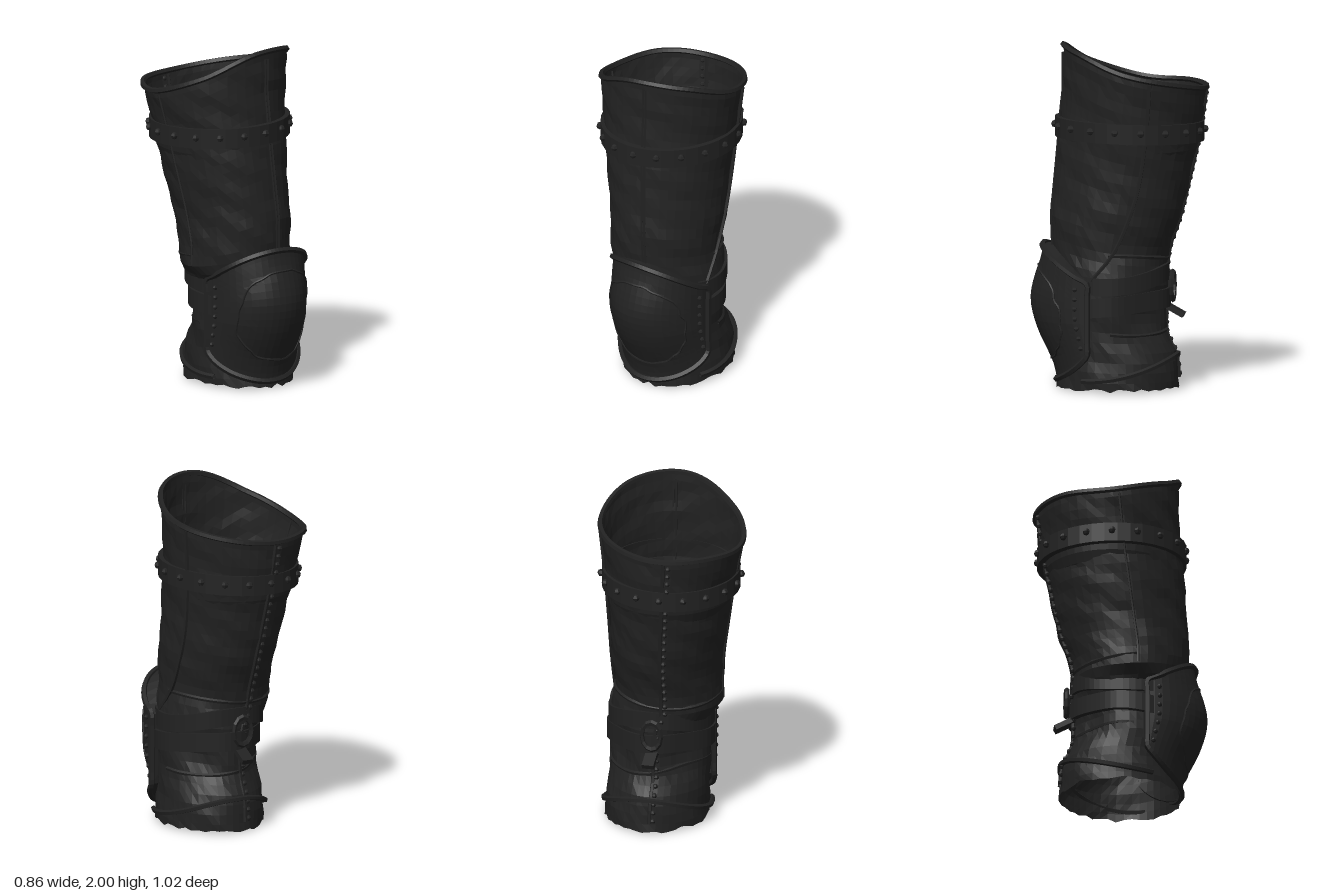
import * as THREE from 'three';

const leather = new THREE.MeshStandardMaterial({ color: 0x222222, flatShading: true, side: THREE.DoubleSide });
leather.name = 'black leather';
const { sin, cos, PI } = Math;
const { clamp } = THREE.MathUtils;
const deg = PI / 180;

// leg cross-sections: y, right x, left x, back z, front z
const sections = [
  [0, -0.2, 0.4, -0.35, 0.36], [0.1, -0.2, 0.395, -0.345, 0.355], [0.2, -0.195, 0.385, -0.33, 0.35],
  [0.32, -0.195, 0.38, -0.275, 0.35], [0.45, -0.2, 0.385, -0.275, 0.35], [0.62, -0.21, 0.38, -0.28, 0.355],
  [0.71, -0.27, 0.375, -0.27, 0.375], [0.8, -0.265, 0.355, -0.28, 0.39], [1, -0.28, 0.36, -0.35, 0.4],
  [1.4, -0.35, 0.37, -0.44, 0.365], [1.55, -0.38, 0.38, -0.465, 0.355], [1.74, -0.42, 0.4, -0.49, 0.335],
  [2.05, -0.425, 0.41, -0.5, 0.335],
];

function sectionAt(y) {
  let i = 0;
  while (i < sections.length - 2 && y > sections[i + 1][0]) i++;
  const a = sections[i], b = sections[i + 1], t = (y - a[0]) / (b[0] - a[0]);
  const [x0, x1, z0, z1] = [1, 2, 3, 4].map(k => a[k] + (b[k] - a[k]) * t);
  return { cx: (x0 + x1) / 2, rx: (x1 - x0) / 2, cz: (z0 + z1) / 2, rz: (z1 - z0) / 2 };
}

// point on the leg: angle from the front toward the left, height, outward offset
function onLeg(a, y, o = 0) {
  const s = sectionAt(y);
  // the hollow of the knee pinches the back corners
  const pinch = cos(a) < 0 ? 0.045 * sin(2 * a) ** 2 * Math.exp(-(((y - 0.44) / 0.14) ** 2)) : 0;
  return new THREE.Vector3(s.cx + (s.rx + o - pinch) * sin(a), y, s.cz + (s.rz + o - pinch) * cos(a));
}
const angleAtZ = (z, y) => {
  const s = sectionAt(y);
  return Math.acos(clamp((z - s.cz) / s.rz, -1, 1));
};
// height of the top edge every 45 degrees, from the front toward the left
const rimCurve = new THREE.CatmullRomCurve3(
  [1.985, 1.97, 1.862, 1.795, 1.75, 1.75, 1.75, 1.85].map((y, i) => new THREE.Vector3(i, y, 0)), true, 'catmullrom');
const rimY = a => rimCurve.getPoint(((a / (2 * PI)) % 1 + 1) % 1).y;
const jitter = n => { const v = sin(n * 12.9898) * 43758.5453; return v - Math.floor(v); };

// quad sheet through fn(u, v)
function sheet(nu, nv, fn) {
  const pos = [], idx = [];
  for (let j = 0; j <= nv; j++) for (let i = 0; i <= nu; i++) pos.push(...fn(i / nu, j / nv, i, j).toArray());
  for (let j = 0; j < nv; j++) for (let i = 0; i < nu; i++) {
    const p = j * (nu + 1) + i, q = p + nu + 1;
    idx.push(p, p + 1, q, p + 1, q + 1, q);
  }
  const g = new THREE.BufferGeometry();
  g.setAttribute('position', new THREE.Float32BufferAttribute(pos, 3));
  g.setIndex(idx);
  g.computeVertexNormals();
  return g;
}

export function createModel() {
  const group = new THREE.Group();
  const add = (name, geo) => {
    const m = new THREE.Mesh(geo, leather);
    m.name = name;
    group.add(m);
    return m;
  };
  const piping = (name, pts, r, closed = false) =>
    add(name, new THREE.TubeGeometry(new THREE.CatmullRomCurve3(pts, closed), pts.length * 3, r, 5, closed));
  const sample = (n, fn) => Array.from({ length: n }, (_, i) => fn(i / (n - 1)));
  const studGeo = new THREE.SphereGeometry(1, 6, 4);
  const stud = (name, p, r) => {
    const m = add(name, studGeo);
    m.position.copy(p);
    m.scale.setScalar(r);
  };
  // strap wrapped round the leg: lower edge, face, upper edge
  const strap = (name, a0, a1, mid, h, o) => add(name, sheet(36, 3, (u, v, i, j) => {
    const a = a0 + (a1 - a0) * u;
    const p = onLeg(a, mid(a), j === 1 || j === 2 ? o : -0.01);
    p.y += j > 1 ? h / 2 : -h / 2;
    return p;
  }));

  // main sleeve with soft wrinkles and a ragged hem
  const around = 48;
  add('legSleeve', sheet(around, 32, (u, v, i, j) => {
    const a = u * 2 * PI, hem = j === 0 ? 0.025 * jitter(i % around) : 0;
    const y = Math.max(hem, v * rimY(a));
    const crease = 0.006 * sin(3 * a + 9 * y) * sin(23 * y + 2 * a) + 0.005 * (jitter((i % around) * 7 + j * 31) - 0.5);
    return onLeg(a, y, v === 1 ? 0 : crease);
  }));
  // bowl-shaped lining closing the hollow inside
  const top = sectionAt(1.45);
  add('innerLining', sheet(around, 8, (u, v) => {
    const a = u * 2 * PI, r = cos(v * PI / 2);
    return new THREE.Vector3(top.cx + top.rx * r * sin(a), 1.45 - 0.3 * sin(v * PI / 2), top.cz + top.rz * r * cos(a));
  }));

  // rolled top edge
  piping('topRim', sample(29, t => onLeg(t * 2 * PI, rimY(t * 2 * PI) - 0.01, 0.002)).slice(0, -1), 0.017, true);

  // seams
  const frontSeam = y => onLeg((13 + 2 * (1.9 - y)) * deg, y, 0.004);
  for (const d of [-0.009, 0.009])
    piping('frontSeam', sample(12, t => frontSeam(0.82 + 1.12 * t).add(new THREE.Vector3(d, 0, 0))), 0.007);
  piping('sideSeam', [[-0.22, 1.8], [-0.2, 1.55], [-0.15, 1.2], [-0.09, 1], [0, 0.8], [0.12, 0.65]]
    .map(([z, y]) => onLeg(angleAtZ(z, y), y, 0.006)), 0.012);
  piping('rightSeam', sample(10, t => onLeg(-85 * deg, 0.72 + t, 0.002)), 0.008);
  piping('backSeam', sample(14, t => onLeg(188 * deg, 0.06 + 1.66 * t, 0.002)), 0.012);
  for (let i = 0; i < 34; i++) stud('backSeamStud', onLeg(192 * deg, 0.08 + i * 0.049, 0.006), 0.016);

  // studded thigh strap
  const thighY = a => 1.498 + 0.01 * cos(a) + 0.012 * sin(a);
  strap('thighStrap', 0, 2 * PI, thighY, 0.115, 0.026);
  for (let i = 0; i < 18; i++) {
    const a = (i + 0.3) / 18 * 2 * PI;
    stud('thighStrapStud', onLeg(a, thighY(a) + 0.008, 0.028), 0.022);
  }

  // wrap folds and strap behind the knee
  strap('kneeWrap', 65 * deg, 295 * deg, a => 0.645 + 0.03 * cos(2 * a), 0.1, 0.012);
  strap('kneeStrap', 65 * deg, 295 * deg, a => 0.5 - 0.03 * cos(a), 0.11, 0.022);
  for (const k of [0, 1])
    piping('kneeFold', sample(14, t => onLeg((95 + 180 * t) * deg, 0.77 - 0.42 * k + 0.025 * cos(5 * t + k * 2), -0.003)), 0.012);

  // buckle and loose strap end
  const buckle = add('buckle', new THREE.TorusGeometry(0.068, 0.015, 5, 12));
  buckle.position.copy(onLeg(186 * deg, 0.59, 0.03));
  buckle.scale.set(0.85, 1.2, 1);
  const end = add('strapEnd', new THREE.BoxGeometry(0.07, 0.03, 0.12));
  end.position.copy(onLeg(186 * deg, 0.45, 0.05));
  end.rotation.x = -0.5;

  // lower trim sagging on the sides
  piping('lowerTrim', sample(25, t => {
    const a = (62 + 236 * t) * deg;
    return onLeg(a, 0.14 - 0.06 * sin(a) ** 2 - 0.06 * cos(a), 0.012);
  }), 0.016);

  // knee guard: curved shell with a raised dome, tapering toward the shin
  const profile = new THREE.SplineCurve([[0.03, 0.36], [0.15, 0.4], [0.3, 0.465], [0.5, 0.5], [0.68, 0.475], [0.84, 0.44]]
    .map(([y, z]) => new THREE.Vector2(y, z)));
  const guardTop = a => 0.635 + 0.195 * cos(a);
  const guardBottom = a => 0.22 - 0.175 * cos(a);
  const guard = (a, y, o = 0) => {
    const front = profile.getPoint(clamp((y - 0.03) / 0.81, 0, 1)).y;
    const d = Math.hypot((a - 0.08) / (56 * deg), (y - 0.44) / 0.27);
    const bump = 0.018 * Math.sqrt(Math.max(0, 1 - d * d));
    const taper = 1 + 0.6 * clamp((0.4 - y) / 0.3, 0, 1);
    const depth = Math.max(0, cos(a)) ** taper;
    return new THREE.Vector3(0.102 + (0.298 + o) * sin(a), y, 0.14 + (front - 0.145 + bump + o) * depth);
  };
  add('kneeGuard', sheet(24, 18, (u, v) => {
    const a = (u - 0.5) * PI, b = guardBottom(a);
    return guard(a, b + (guardTop(a) - b) * v);
  }));
  const half = PI / 2;
  const edge = [
    ...sample(15, t => guard(-half + PI * t, guardTop(-half + PI * t), 0.005)),
    ...sample(5, t => guard(half, 0.57 - 0.28 * t, 0.005)),
    ...sample(15, t => guard(half - PI * t, guardBottom(half - PI * t), 0.005)),
    ...sample(5, t => guard(-half, 0.29 + 0.28 * t, 0.005)),
  ];
  piping('kneeGuardRim', edge, 0.018, true);
  // lip joining the guard's edge to the leg
  add('kneeGuardLip', sheet(edge.length, 1, (u, v, i) => {
    const p = edge[i % edge.length], s = sectionAt(p.y);
    return v === 0 ? p : onLeg(Math.atan2(p.x - s.cx, p.z - s.cz), p.y, -0.01);
  }));
  // stitched outline of the dome
  piping('domeStitching', sample(37, t => {
    const r = 0.97 + 0.06 * jitter(Math.round(t * 36) + 5), a = t * 2 * PI;
    return guard(0.08 + 56 * deg * r * sin(a), 0.44 + 0.27 * r * cos(a), 0.001);
  }).slice(0, -1), 0.007, true);
  // studs along both sides of the guard
  for (const side of [-1, 1])
    for (let i = 0; i < 7; i++) stud('kneeGuardStud', guard(side * 78 * deg, 0.26 + i * 0.057, 0.004), 0.015);

  return group;
}
